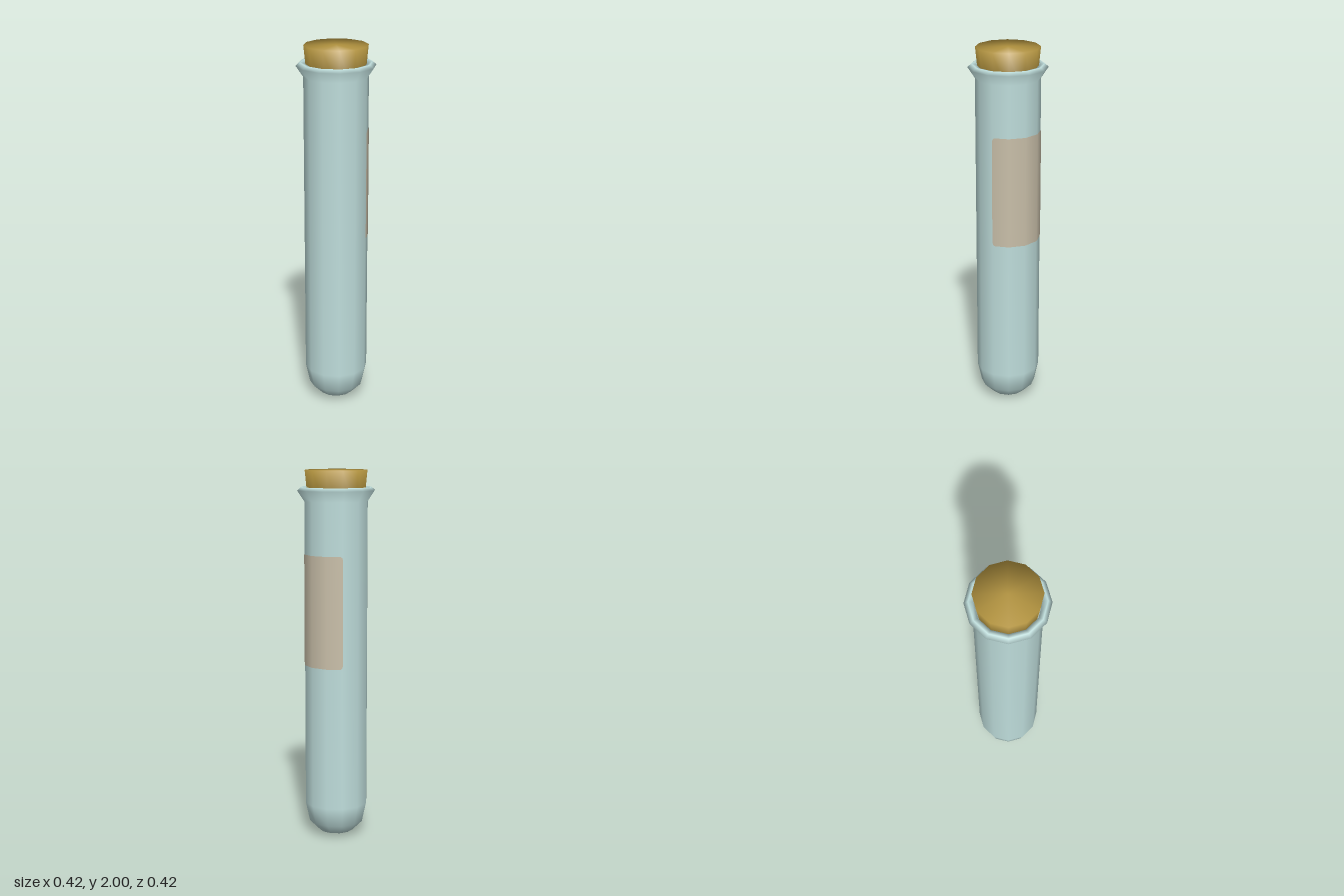
import * as THREE from 'three';

const SIDES = 12;
const glass = new THREE.MeshStandardMaterial({ name: 'pale glass', color: 0xc0dfdd });
const cork = new THREE.MeshStandardMaterial({ name: 'cork', color: 0xb2933f });
const paper = new THREE.MeshStandardMaterial({ name: 'label paper', color: 0xc9bfa9 });

// Smooth turned part; the profile runs upward along its outside
function turned(name, profile, material) {
  const points = profile.map(([r, y]) => new THREE.Vector2(r, y));
  const mesh = new THREE.Mesh(new THREE.LatheGeometry(points, SIDES), material);
  mesh.name = name;
  return mesh;
}

// Thin paper wrapped over four facets on the +x side, with clipped corners
function makeLabel() {
  const radius = 0.1745, bottom = 0.955, top = 1.555;
  const columns = [
    // facet position (1 = 30 degrees), corner inset
    [-2, 0.02], [-1.95, 0.006], [-1.85, 0], [-1, 0], [0, 0],
    [1, 0], [1.85, 0], [1.95, 0.006], [2, 0.02],
  ];
  const geometry = new THREE.PlaneGeometry(1, 1, columns.length - 1, 1);
  const { position, normal } = geometry.attributes;
  columns.forEach(([facet, inset], i) => {
    const low = Math.floor(facet), t = facet - low, step = Math.PI / 6;
    const x = radius * THREE.MathUtils.lerp(Math.cos(low * step), Math.cos((low + 1) * step), t);
    const z = -radius * THREE.MathUtils.lerp(Math.sin(low * step), Math.sin((low + 1) * step), t);
    const length = Math.hypot(x, z);
    [top - inset, bottom + inset].forEach((y, row) => {
      const v = row * columns.length + i;
      position.setXYZ(v, x, y, z);
      normal.setXYZ(v, x / length, 0, z / length);
    });
  });
  const mesh = new THREE.Mesh(geometry, paper);
  mesh.name = 'label';
  return mesh;
}

export function createModel() {
  const model = new THREE.Group();
  model.name = 'corkedTestTube';

  // Tube with rounded bottom, flared lip and a short inner wall
  model.add(turned('tube', [
    [0, 0], [0.092, 0.018], [0.149, 0.075], [0.172, 0.18], [0.172, 1.835],
    [0.211, 1.893], [0.19, 1.911], [0.165, 1.905], [0.158, 1.83],
  ], glass));

  // Tapered stopper
  model.add(turned('stopper', [
    [0, 1.78], [0.148, 1.78], [0.17, 2], [0, 2],
  ], cork));

  model.add(makeLabel());
  return model;
}
